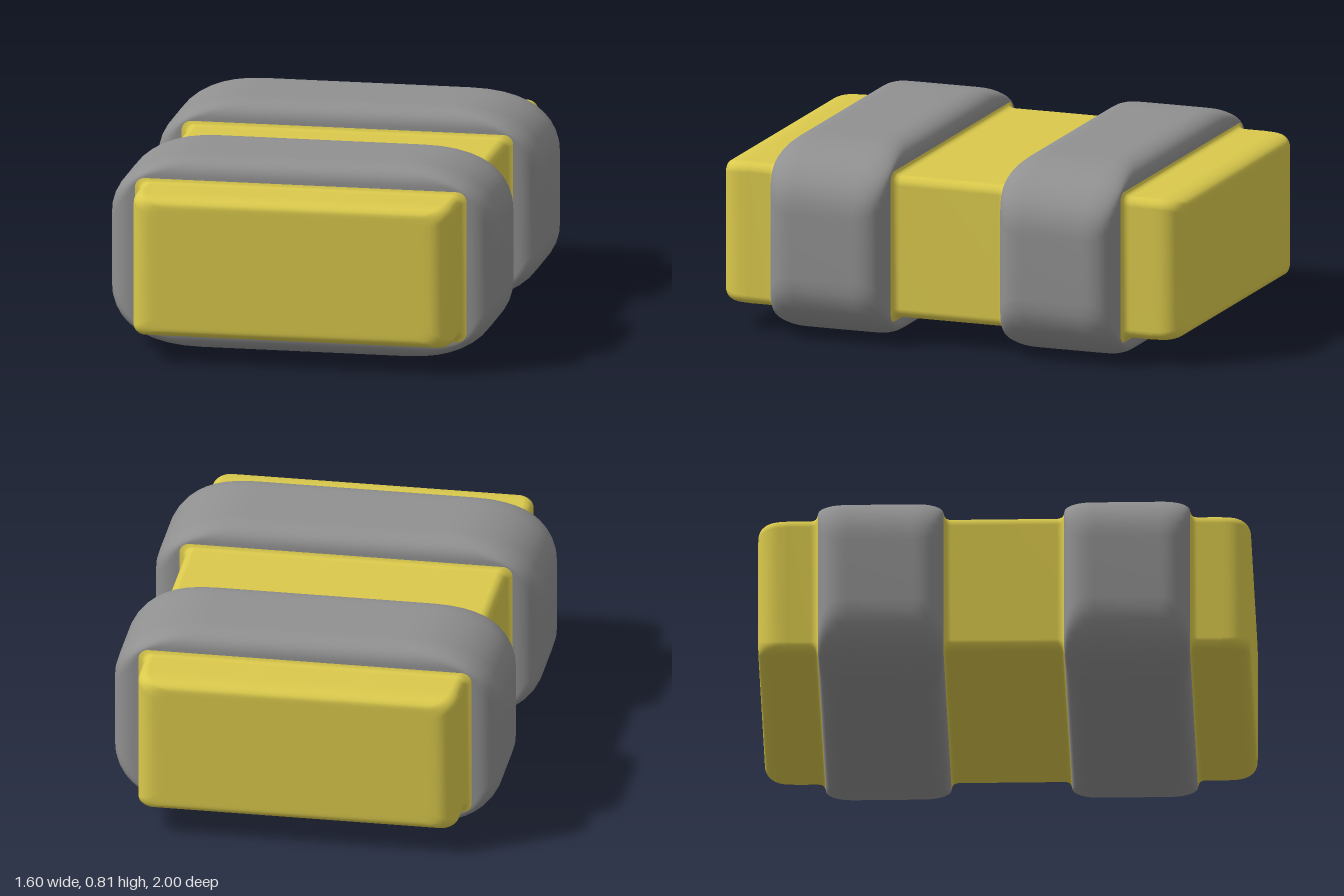
import * as THREE from 'three';

const CENTRE_Y = 0.4025;
const STEPS = 10; // segments per rounded corner

// Rounded rectangle outline, counterclockwise; n is the corner's superellipse power
function outline({ hx, hy, rx, ry, n = 2 }) {
  const pts = [];
  const signs = [[1, 1], [-1, 1], [-1, -1], [1, -1]];
  signs.forEach(([sx, sy], q) => {
    for (let i = 0; i <= STEPS; i++) {
      const a = ((q % 2 ? STEPS - i : i) / STEPS) * Math.PI / 2;
      const c = Math.pow(Math.max(0, Math.cos(a)), 2 / n);
      const s = Math.pow(Math.max(0, Math.sin(a)), 2 / n);
      pts.push([sx * (hx - rx + rx * c), sy * (hy - ry + ry * s)]);
    }
  });
  return pts;
}

// Skin over sections ordered by rising z, optionally closed at the front
function loft(sections, capped = false) {
  const pos = [], index = [];
  const count = 4 * (STEPS + 1);
  sections.forEach((s) => outline(s).forEach(([x, y]) => pos.push(x, y, s.z)));
  for (let r = 0; r < sections.length - 1; r++) {
    for (let j = 0; j < count; j++) {
      const a = r * count + j, b = r * count + (j + 1) % count;
      index.push(a, b, b + count, a, b + count, a + count);
    }
  }
  if (capped) {
    const last = (sections.length - 1) * count;
    pos.push(0, 0, sections[sections.length - 1].z);
    for (let j = 0; j < count; j++) index.push(last + count * 1, last + j, last + (j + 1) % count);
  }
  const g = new THREE.BufferGeometry();
  g.setAttribute('position', new THREE.Float32BufferAttribute(pos, 3));
  g.setIndex(index);
  g.computeVertexNormals();
  return g;
}

const body = (z, grow = 0) => ({ z, hx: 0.66 + grow, hy: 0.296 + grow * 0.7, rx: 0.04, ry: 0.04 });

// Small flare where the body meets a band, from the band face outward
const flare = [[0, 0.025], [0.004, 0.012], [0.01, 0.005], [0.02, 0.001], [0.03, 0]];

// Exposed body end with a softly rounded rim
function endSections() {
  const out = flare.map(([d, g]) => body(0.755 + d, g));
  out.push(body(0.88));
  for (let i = 0; i <= 10; i++) {
    const a = (i / 10) * Math.PI / 2;
    const c = Math.pow(Math.max(0, Math.cos(a)), 0.8), s = Math.pow(Math.sin(a), 0.8);
    out.push({ z: 0.89 + 0.11 * s, hx: 0.56 + 0.1 * c, hy: 0.251 + 0.045 * c, rx: 0.045, ry: 0.04 });
  }
  out.push({ z: 1, hx: 0.54, hy: 0.235, rx: 0.04, ry: 0.035 });
  return out;
}

// Body between the bands
function middleSections() {
  const front = flare.map(([d, g]) => body(0.245 - d, g)).reverse();
  return [...front.map((s) => ({ ...s, z: -s.z })).reverse(), ...front];
}

// Puffy band, bulging from the body's outline to a wide rounded one
function bandSections() {
  const out = [];
  for (let i = 0; i <= 14; i++) {
    const a = (i / 14) * Math.PI / 2;
    const s = Math.pow(Math.sin(a), 0.8), c = Math.pow(Math.max(0, Math.cos(a)), 0.8);
    out.push({
      z: 0.37 - 0.125 * c,
      hx: 0.685 + 0.115 * s,
      hy: 0.3135 + 0.089 * s,
      rx: 0.04 + 0.36 * s,
      ry: 0.04 + 0.23 * s,
      n: 2 + 0.3 * s,
    });
  }
  return [...out, ...out.map((s) => ({ ...s, z: 1 - s.z })).reverse()];
}

export function createModel() {
  const yellow = new THREE.MeshStandardMaterial({ color: 0xdac94c });
  yellow.name = 'yellow';
  const grey = new THREE.MeshStandardMaterial({ color: 0x909090 });
  grey.name = 'grey';

  const group = new THREE.Group();
  group.name = 'bandedBlock';
  const add = (name, geometry, material, turn = 0) => {
    const mesh = new THREE.Mesh(geometry, material);
    mesh.name = name;
    mesh.position.y = CENTRE_Y;
    mesh.rotation.y = turn;
    group.add(mesh);
  };

  add('bodyMiddle', loft(middleSections()), yellow);
  const end = loft(endSections(), true);
  const band = loft(bandSections());
  [['front', 0], ['back', Math.PI]].forEach(([side, turn]) => {
    add(side + 'End', end, yellow, turn);
    add(side + 'Band', band, grey, turn);
  });
  return group;
}
